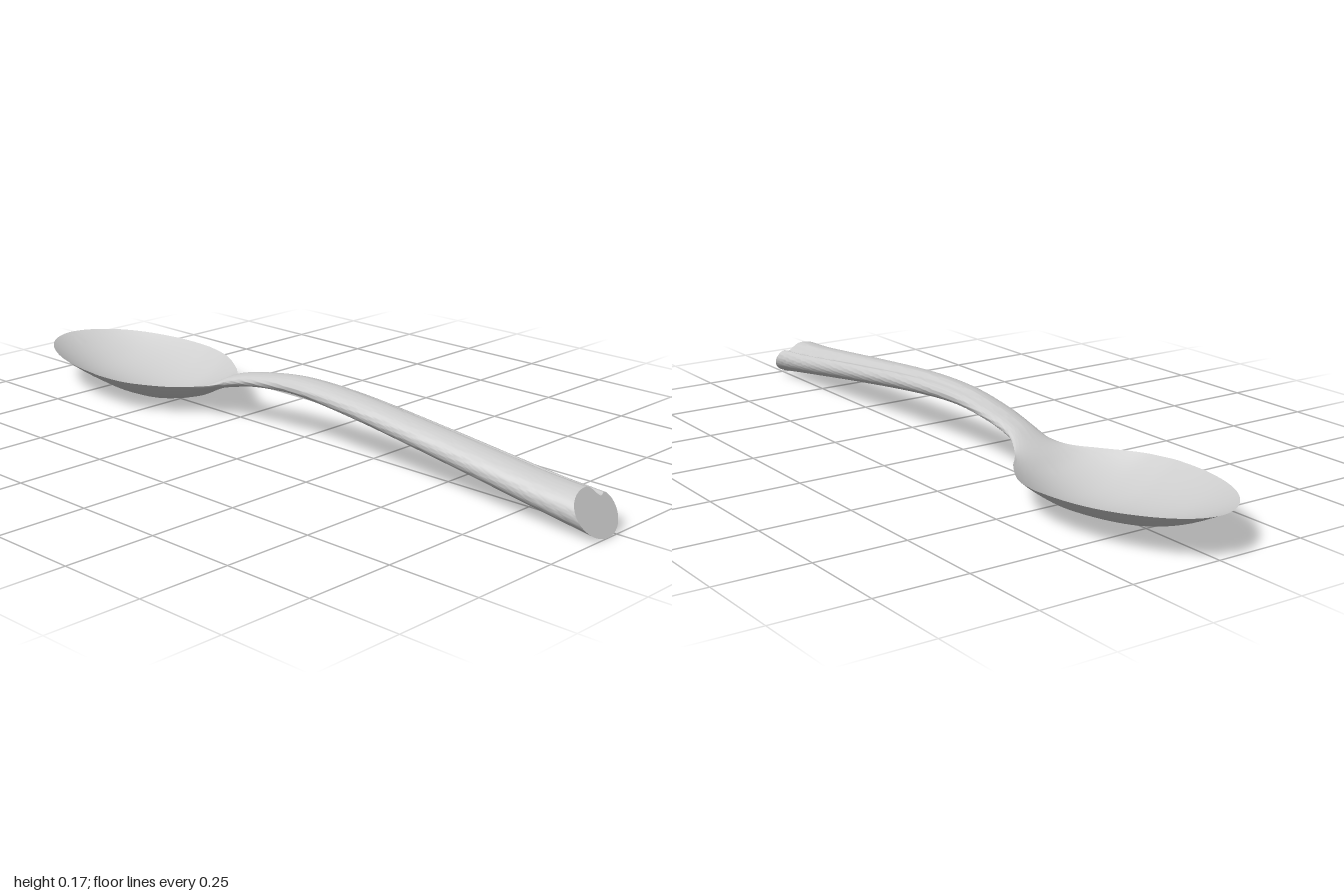
import * as THREE from 'three';
import { toCreasedNormals } from 'three/addons/utils/BufferGeometryUtils.js';

// Cross-sections from handle end to bowl tip:
// z, left edge x, right edge x, underside y, edge y, upper y, fullness power, groove depth
const STATIONS = [
  [1.0, -0.107, 0.04, 0.0, 0.055, 0.105, 1, 0.45],
  [0.8, -0.098, 0.038, 0.029, 0.072, 0.114, 1, 0.42],
  [0.5, -0.083, 0.037, 0.071, 0.107, 0.143, 1, 0.34],
  [0.2, -0.068, 0.036, 0.108, 0.139, 0.169, 1, 0.26],
  [0.0, -0.058, 0.035, 0.122, 0.147, 0.171, 1, 0.2],
  [-0.15, -0.055, 0.035, 0.112, 0.132, 0.151, 1, 0.1],
  [-0.25, -0.053, 0.036, 0.091, 0.111, 0.127, 1, 0],
  [-0.3, -0.064, 0.054, 0.077, 0.094, 0.103, 1.2, 0],
  [-0.35, -0.092, 0.086, 0.056, 0.086, 0.077, 1.6, 0],
  [-0.4, -0.133, 0.128, 0.032, 0.084, 0.05, 2, 0],
  [-0.5, -0.192, 0.188, 0.006, 0.087, 0.018, 2, 0],
  [-0.57, -0.209, 0.207, 0.0, 0.09, 0.011, 2, 0],
  [-0.63, -0.213, 0.212, 0.002, 0.093, 0.012, 2, 0],
  [-0.8, -0.18, 0.18, 0.026, 0.099, 0.036, 2, 0],
  [-0.9, -0.14, 0.14, 0.057, 0.103, 0.065, 2, 0],
  [-1.0, 0, 0, 0.105, 0.105, 0.105, 2, 0],
];

// Smooth (Hermite) interpolation of one station column at z
function sample(z, col) {
  const S = STATIONS, last = S.length - 1;
  let i = 0;
  while (i < last - 1 && z < S[i + 1][0]) i++;
  const slope = (k) => {
    const a = S[Math.max(k - 1, 0)], b = S[Math.min(k + 1, last)];
    return (b[col] - a[col]) / (b[0] - a[0]);
  };
  const h = S[i + 1][0] - S[i][0], t = (z - S[i][0]) / h, t2 = t * t, t3 = t2 * t;
  return (2 * t3 - 3 * t2 + 1) * S[i][col] + (t3 - 2 * t2 + t) * h * slope(i)
    + (3 * t2 - 2 * t3) * S[i + 1][col] + (t3 - t2) * h * slope(i + 1);
}

const SEG = 72;
const WIDEST = -0.63;

// One closed ring of points around the spoon at z
function ring(z) {
  let [xl, xr, bottom, edge, top, power, groove] = [1, 2, 3, 4, 5, 6, 7].map((c) => sample(z, c));
  if (z < WIDEST) { // rounded bowl tip
    const d = Math.min(1, (WIDEST - z) / (1 + WIDEST));
    xr = 0.2125 * Math.pow(Math.max(0, 1 - d * d), 0.53);
    xl = -xr;
  }
  const slant = 0.67 * THREE.MathUtils.smoothstep(z, 0.7, 1); // slanted handle end
  const points = [];
  for (let j = 0; j < SEG; j++) {
    const a = (j / SEG) * Math.PI * 2, s = Math.cos(a), upper = j <= SEG / 2;
    let full = Math.pow(Math.abs(Math.sin(a)), power);
    if (upper) full *= 1 - Math.max(0, groove) * Math.exp(-(((s - 0.53) / 0.22) ** 2));
    const y = edge + ((upper ? top : bottom) - edge) * full;
    points.push((xl + xr) / 2 + ((xr - xl) / 2) * s, y, z - slant * (y - bottom));
  }
  return points;
}

function spoonGeometry() {
  const zs = [];
  for (let i = 0; i < 110; i++) zs.push(1 - (1 - WIDEST) * (i / 110));
  for (let i = 0; i <= 28; i++) zs.push(WIDEST - (1 + WIDEST) * Math.sin((i / 28) * Math.PI / 2));
  const position = zs.flatMap(ring), index = [];
  for (let i = 0; i < zs.length - 1; i++) {
    for (let j = 0; j < SEG; j++) {
      const k = (j + 1) % SEG;
      const a = i * SEG + j, b = i * SEG + k, c = a + SEG, d = b + SEG;
      index.push(a, c, b);
      if (i < zs.length - 2) index.push(b, c, d);
    }
  }
  // flat cap on the handle end
  const center = position.length / 3;
  position.push(-0.033, 0.053, 1 - 0.67 * 0.053);
  for (let j = 0; j < SEG; j++) index.push(center, j, (j + 1) % SEG);

  const geometry = new THREE.BufferGeometry();
  geometry.setAttribute('position', new THREE.Float32BufferAttribute(position, 3));
  geometry.setIndex(index);
  return toCreasedNormals(geometry, 0.8);
}

export function createModel() {
  const group = new THREE.Group();
  group.name = 'spoon';
  const body = new THREE.Mesh(spoonGeometry(), new THREE.MeshStandardMaterial({ color: 0xcccccc }));
  body.name = 'handleAndBowl';
  group.add(body);
  return group;
}
